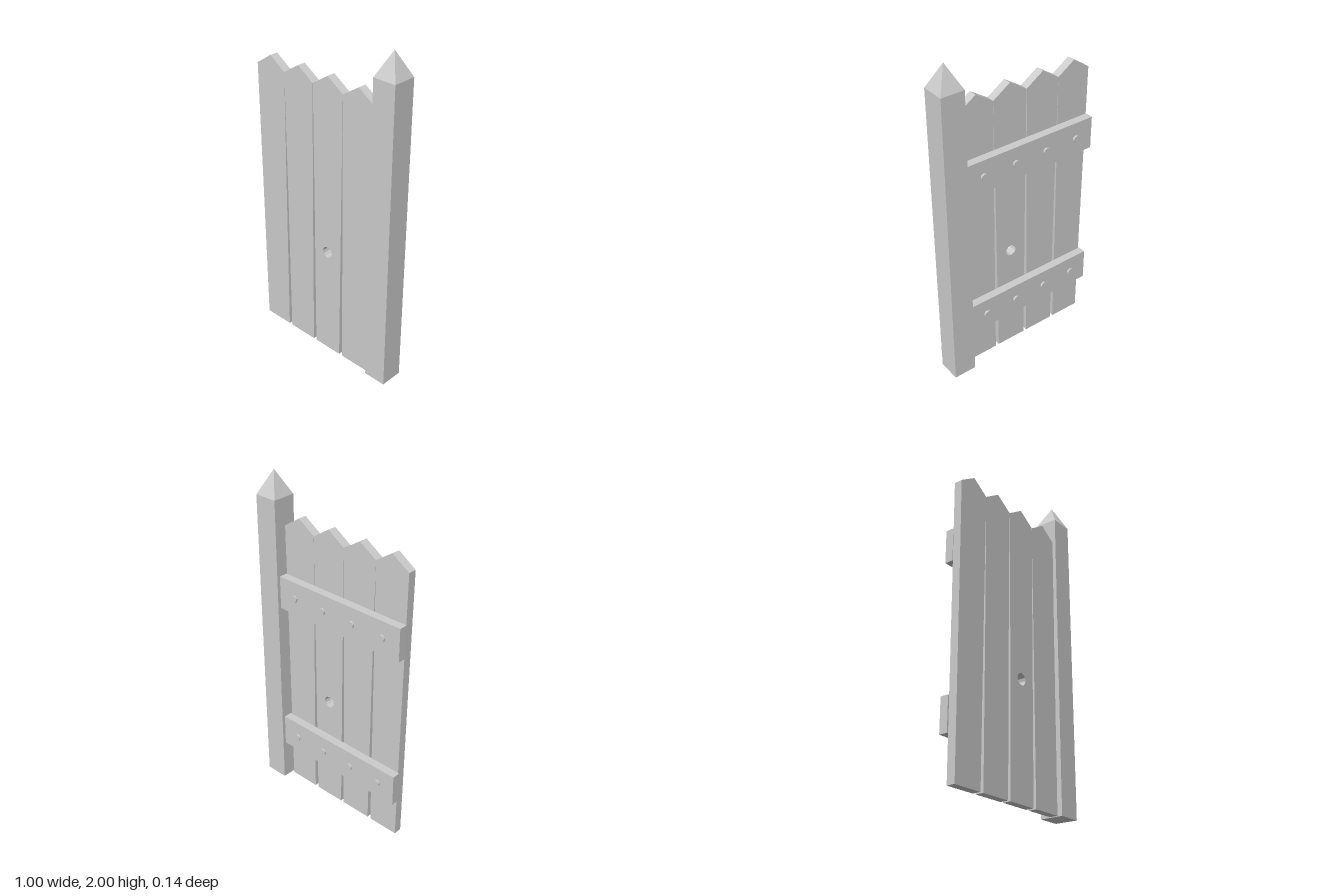
import * as THREE from 'three';

export function createModel() {
  const group = new THREE.Group();
  const material = new THREE.MeshStandardMaterial({ color: 0xcccccc, flatShading: true });

  function add(name, geometry, x, y, z) {
    const mesh = new THREE.Mesh(geometry, material);
    mesh.name = name;
    mesh.position.set(x, y, z);
    group.add(mesh);
    return mesh;
  }

  // Square post with a pyramid cap
  const postX = 0.43, postWidth = 0.14, shoulder = 1.86;
  add('post', new THREE.BoxGeometry(postWidth, shoulder, postWidth), postX, shoulder / 2, 0);
  const cap = new THREE.ConeGeometry(postWidth / Math.SQRT2, 0.14, 4, 1, true);
  cap.rotateY(Math.PI / 4);
  add('postCap', cap, postX, shoulder + 0.07, 0);

  // Pointed planks, slightly narrower at the foot: [left, right] at top, middle and foot
  const planks = [
    { top: [-0.5, -0.288], mid: [-0.495, -0.294], foot: [-0.49, -0.3] },
    { top: [-0.288, -0.074], mid: [-0.282, -0.08], foot: [-0.278, -0.084] },
    { top: [-0.072, 0.143], mid: [-0.067, 0.137], foot: [-0.063, 0.13], hole: [0.033, 0.69] },
    { top: [0.143, 0.358], mid: [0.148, 0.351], foot: [0.153, 0.345] },
  ];
  for (const { top, mid, foot, hole } of planks) {
    const shape = new THREE.Shape([
      [foot[0], 0], [foot[1], 0], [mid[1], 1.0], [top[1], 1.7],
      [(top[0] + top[1]) / 2, 1.77], [top[0], 1.7], [mid[0], 1.0],
    ].map(([x, y]) => new THREE.Vector2(x, y)));
    if (hole) shape.holes.push(new THREE.Path().absarc(hole[0], hole[1], 0.035, 0, Math.PI * 2, true));
    const geometry = new THREE.ExtrudeGeometry(shape, { depth: 0.05, bevelEnabled: false, curveSegments: 6 });
    add('plank', geometry, 0, 0, 0);
  }

  // Cross rails on the back, each with a bolt behind every plank
  for (const y of [0.357, 1.31]) {
    add('rail', new THREE.BoxGeometry(0.86, 0.198, 0.05), -0.07, y, -0.025);
    for (const x of [-0.385, -0.173, 0.036, 0.247]) {
      const bolt = new THREE.CylinderGeometry(0.021, 0.021, 0.012, 10);
      bolt.rotateX(Math.PI / 2);
      add('bolt', bolt, x, y, -0.056);
    }
  }
  return group;
}
